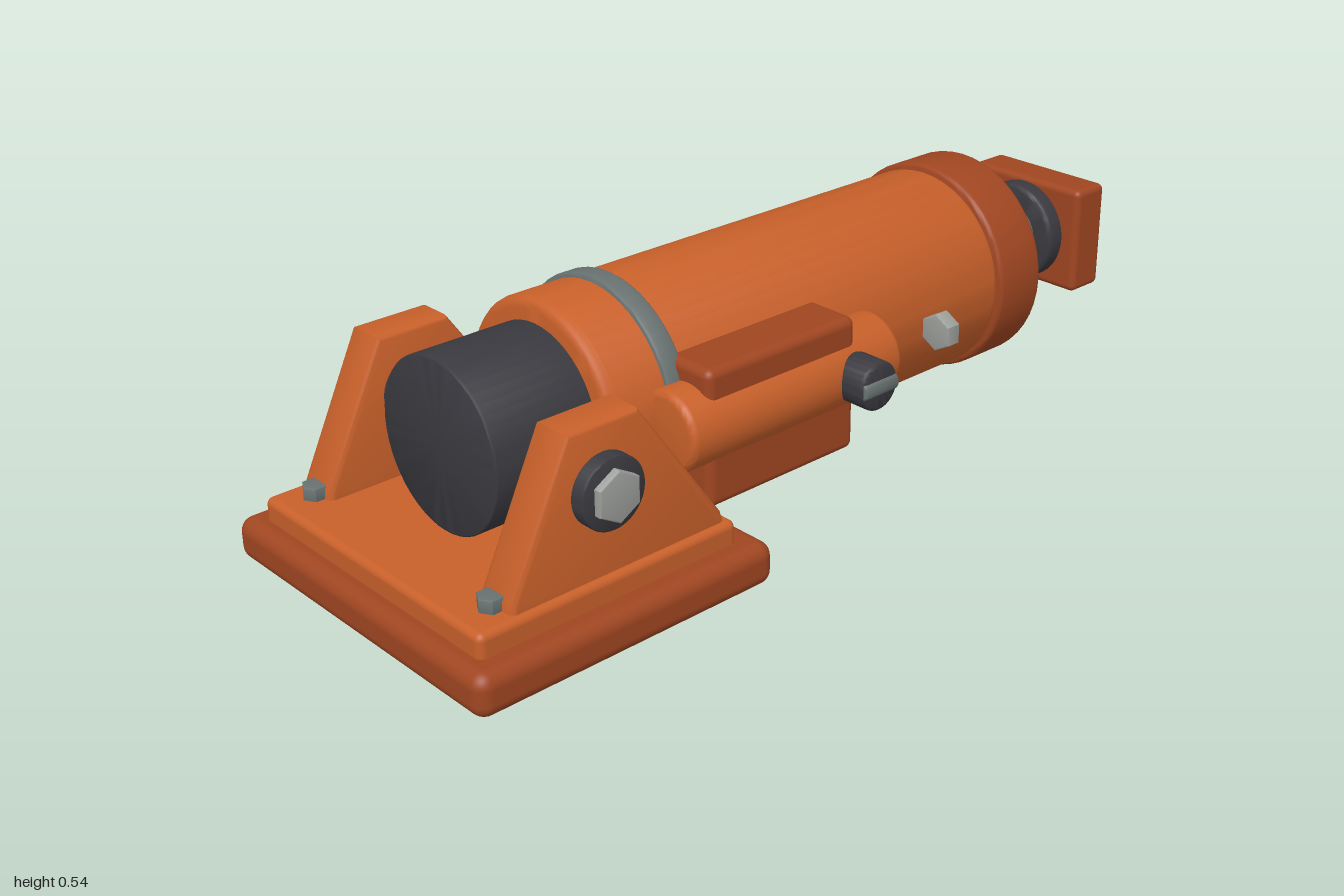
import * as THREE from 'three';
import { toCreasedNormals } from 'three/addons/utils/BufferGeometryUtils.js';
import { RoundedBoxGeometry } from 'three/addons/geometries/RoundedBoxGeometry.js';

const AXIS_Y = 0.31; // height of the barrel axis and pivot

export function createModel() {
  const group = new THREE.Group();
  const mat = (name, color) => {
    const m = new THREE.MeshStandardMaterial({ color });
    m.name = name;
    return m;
  };
  const orange = mat('orange paint', 0xc8602a);
  const rust = mat('dark orange paint', 0xa04621);
  const dark = mat('dark rubber', 0x3a393f);
  const steel = mat('grey steel', 0x687070);
  const bright = mat('bright steel', 0x9c9e9a);

  const add = (name, geo, material, x = 0, y = 0, z = 0) => {
    const mesh = new THREE.Mesh(geo, material);
    mesh.name = name;
    mesh.position.set(x, y, z);
    group.add(mesh);
    return mesh;
  };
  // Box given by its extents on each axis
  const box = (name, material, [x0, x1], [y0, y1], [z0, z1], r) =>
    add(name, new RoundedBoxGeometry(x1 - x0, y1 - y0, z1 - z0, 4, r), material,
      (x0 + x1) / 2, (y0 + y1) / 2, (z0 + z1) / 2);
  // Turned part with rounded rims, running along an axis, centred on its middle
  const turned = (axis, r, len, bevel = 0.006, sides = 48) => {
    const h = len / 2, pts = [new THREE.Vector2(0, -h)];
    for (const end of [-1, 1]) {
      for (let i = 0; i <= 4; i++) {
        const a = (end < 0 ? -Math.PI / 2 : 0) + (i / 4) * Math.PI / 2;
        pts.push(new THREE.Vector2(r - bevel + bevel * Math.cos(a), end * (h - bevel) + bevel * Math.sin(a)));
      }
    }
    pts.push(new THREE.Vector2(0, h));
    const geo = new THREE.LatheGeometry(pts, sides);
    if (axis !== 'y') geo.rotateX(Math.PI / 2);
    if (axis === 'x') geo.rotateY(Math.PI / 2);
    return toCreasedNormals(geo, 0.6);
  };
  // Turned part along z between two z values
  const drum = (name, material, r, z0, z1, bevel, x = 0, y = AXIS_Y) =>
    add(name, turned('z', r, z1 - z0, bevel), material, x, y, (z0 + z1) / 2);

  // Stepped base
  box('basePlate', rust, [-0.395, 0.395], [0, 0.09], [0.31, 1], 0.03);
  box('upperBasePlate', orange, [-0.345, 0.345], [0.075, 0.137], [0.365, 0.96], 0.015);

  // Tapered cheek outline, drawn as (-z, y)
  const bevel = 0.014;
  const outline = new THREE.Shape([
    [-0.868, 0.12], [-0.865, 0.15], [-0.735, 0.421], [-0.59, 0.421], [-0.4, 0.15], [-0.39, 0.12],
  ].reverse().map(([x, y]) => new THREE.Vector2(x, y)));
  const cheekGeo = new THREE.ExtrudeGeometry(outline, {
    depth: 0.092 - 2 * bevel, bevelEnabled: true, bevelThickness: bevel, bevelSize: bevel, bevelSegments: 4,
  });
  cheekGeo.translate(0, 0, -(0.092 - 2 * bevel) / 2);
  cheekGeo.rotateY(Math.PI / 2);
  const cheek = toCreasedNormals(cheekGeo, 0.6);

  for (const side of [-1, 1]) {
    const label = side > 0 ? 'left' : 'right';
    add(label + 'Cheek', cheek, orange, side * 0.285);
    add(label + 'PivotBush', turned('x', 0.072, 0.147), dark, side * 0.2885, AXIS_Y, 0.67);
    add(label + 'PivotBolt', turned('x', 0.052, 0.03, 0.004, 6), bright, side * 0.363, AXIS_Y, 0.67);
    add(label + 'BaseBolt', turned('y', 0.027, 0.04, 0.003, 6), steel, side * 0.28, 0.144, 0.885);
  }

  // Barrel, bands and front plug
  drum('barrel', orange, 0.222, -0.53, 0.555, 0.022);
  drum('frontPlug', dark, 0.176, 0.5, 0.785, 0.006);
  drum('barrelBand', steel, 0.232, 0.37, 0.42, 0.01);
  drum('rearCollar', rust, 0.234, -0.655, -0.52, 0.012);

  // Bellows: shrinking rings over a dark core
  drum('bellowsSeat', dark, 0.18, -0.685, -0.64, 0.006);
  const rings = [0.178, 0.155, 0.134, 0.114, 0.095, 0.077];
  rings.forEach((r, i) => {
    const z = -0.7 - i * 0.0235;
    drum('bellowsRing', steel, r, z - 0.014, z + 0.016, 0.012);
  });
  drum('rod', dark, 0.06, -0.87, -0.66, 0.005);

  // Push head with grip ribs
  drum('headDisc', dark, 0.115, -0.89, -0.835, 0.012);
  box('pushHead', rust, [-0.156, 0.156], [0.188, 0.435], [-0.975, -0.878], 0.015);
  for (const x of [-0.092, 0, 0.092]) {
    box('gripRib', steel, [x - 0.021, x + 0.021], [0.207, 0.413], [-1, -0.96], 0.006);
  }

  // Valve housing on the left side
  drum('valveTube', orange, 0.083, -0.11, 0.45, 0.015, 0.241);
  box('valveBlock', rust, [0.17, 0.297], [0.145, 0.43], [0, 0.39], 0.018);
  add('valveKnob', turned('x', 0.051, 0.13, 0.01), dark, 0.314, AXIS_Y, 0.015);
  add('knobBar', turned('z', 0.02, 0.092, 0.005, 24), steel, 0.367, AXIS_Y, 0.015);
  add('sideNut', turned('z', 0.041, 0.036, 0.004, 6), bright, 0.275, AXIS_Y, -0.278);

  // Bypass pipe on the right side
  const px = -0.318, py = 0.172;
  drum('pipeSleeve', dark, 0.051, -0.33, 0.13, 0.006, px, py);
  drum('pipe', steel, 0.04, -0.39, 0.2, 0.004, px, py);
  for (const z of [-0.414, 0.2]) {
    add('pipeElbow', turned('x', 0.034, 0.15), steel, px + 0.075, py, z);
    add('pipeElbowCorner', new THREE.SphereGeometry(0.036, 24, 16), steel, px, py, z);
    add('pipeFlange', turned('x', 0.045, 0.12), steel, -0.203, py, z);
  }

  return group;
}
